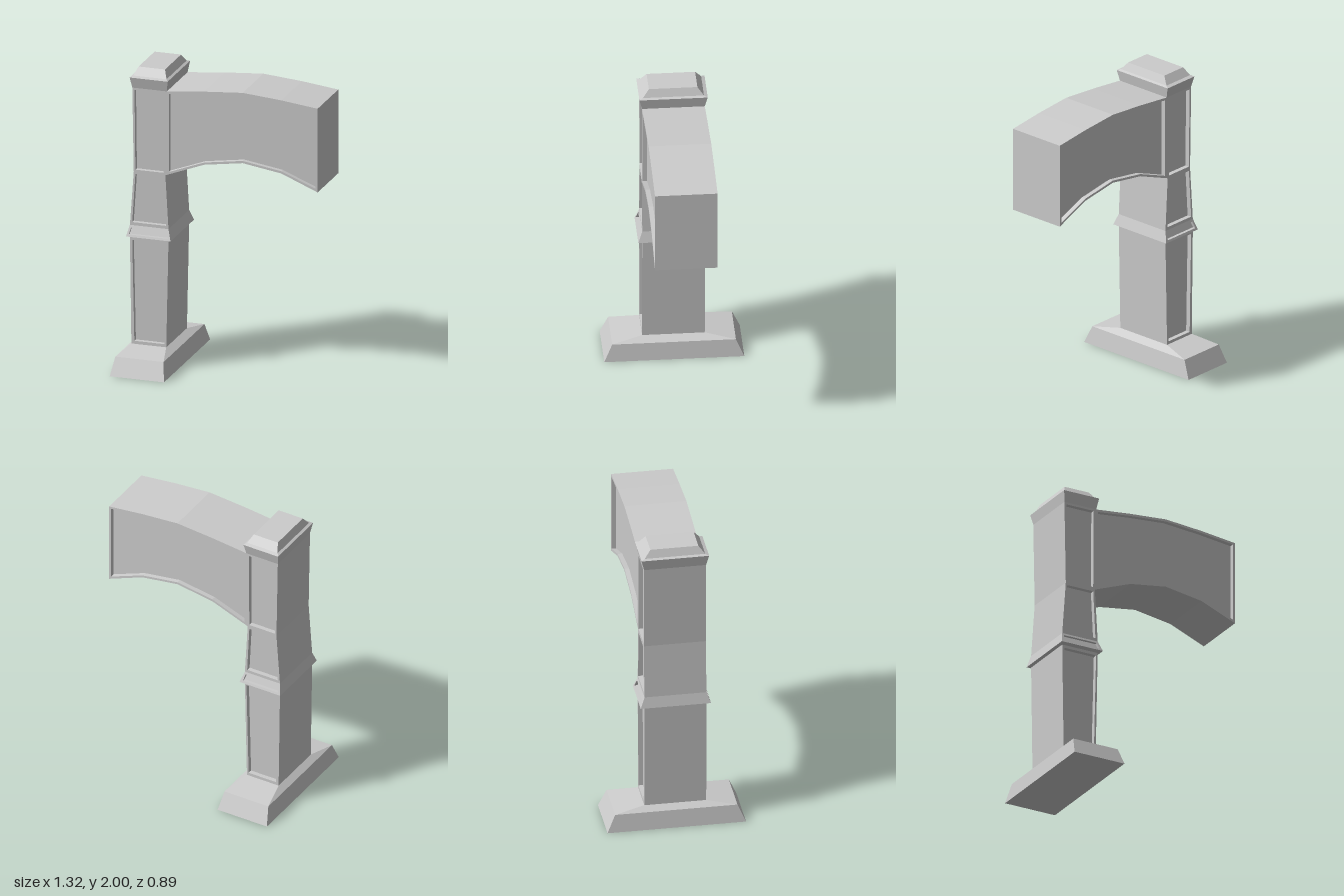
import * as THREE from 'three';

const material = new THREE.MeshStandardMaterial({ color: 0xcccccc, flatShading: true });

function addMesh(parent, geometry, name) {
  const mesh = new THREE.Mesh(geometry, material);
  mesh.name = name;
  parent.add(mesh);
}

const toShape = (points) => new THREE.Shape(points.map(([x, y]) => new THREE.Vector2(x, y)));

// Extrude centred on z = 0; flare(y) pushes the front and back faces outwards
function slab(shape, halfDepth, flare) {
  const geo = new THREE.ExtrudeGeometry(shape, { depth: 2 * halfDepth, bevelEnabled: false });
  geo.translate(0, 0, -halfDepth);
  const p = geo.attributes.position;
  for (let i = 0; i < p.count; i++) {
    p.setZ(i, p.getZ(i) + Math.sign(p.getZ(i)) * flare(p.getY(i)));
  }
  geo.computeVertexNormals();
  return geo;
}

// Block with a sunken panel on its front and back
function panelBlock(parent, name, outline, inset, depth = 0.03, flare = () => 0) {
  const group = new THREE.Group();
  group.name = name;
  const frame = toShape(outline);
  frame.holes.push(toShape(inset));
  addMesh(group, slab(frame, 0.2, flare), name + 'Frame');
  addMesh(group, slab(toShape(inset), 0.2 - depth, flare), name + 'Panel');
  parent.add(group);
}

// Four corners: bottom y, left, right, then top y, left, right
const quad = (y0, l0, r0, y1, l1, r1) => [[l0, y0], [r0, y0], [r1, y1], [l1, y1]];

// Solid through stacked rectangles [y, left, right, halfDepth]
function rectLoft(levels) {
  const pos = [];
  const rings = levels.map(([y, l, r, z]) => [[l, y, z], [r, y, z], [r, y, -z], [l, y, -z]]);
  const face = (a, b, c, d) => pos.push(...a, ...b, ...c, ...a, ...c, ...d);
  for (let i = 0; i < rings.length - 1; i++) {
    for (let k = 0; k < 4; k++) {
      const n = (k + 1) % 4;
      face(rings[i][k], rings[i][n], rings[i + 1][n], rings[i + 1][k]);
    }
  }
  const [b, t] = [rings[0], rings[rings.length - 1]];
  face(b[3], b[2], b[1], b[0]);
  face(t[0], t[1], t[2], t[3]);
  const geo = new THREE.BufferGeometry();
  geo.setAttribute('position', new THREE.Float32BufferAttribute(pos, 3));
  geo.computeVertexNormals();
  return geo;
}

export function createModel() {
  const model = new THREE.Group();
  model.name = 'halfArch';

  // Wide sloping foot
  addMesh(model, rectLoft([
    [0, -0.66, -0.295, 0.447],
    [0.118, -0.64, -0.315, 0.395],
    [0.148, -0.6, -0.365, 0.2],
  ]), 'base');

  // Pillar in three panelled sections
  panelBlock(model, 'lowerShaft',
    quad(0.148, -0.6, -0.365, 0.865, -0.61, -0.35),
    quad(0.168, -0.58, -0.378, 0.845, -0.594, -0.362));
  panelBlock(model, 'middleShaft',
    quad(0.945, -0.61, -0.35, 1.305, -0.584, -0.371),
    quad(0.965, -0.594, -0.367, 1.29, -0.573, -0.383));
  panelBlock(model, 'upperShaft',
    quad(1.305, -0.584, -0.371, 1.87, -0.594, -0.361),
    quad(1.32, -0.573, -0.383, 1.855, -0.579, -0.38));

  // Flared collar with a thin lip underneath
  addMesh(model, rectLoft([
    [0.864, -0.61, -0.35, 0.2],
    [0.873, -0.628, -0.327, 0.227],
  ]), 'collarLip');
  panelBlock(model, 'collar',
    quad(0.873, -0.628, -0.327, 0.945, -0.61, -0.35),
    quad(0.887, -0.61, -0.348, 0.93, -0.6, -0.36),
    0.02, (y) => (0.945 - y) / 0.072 * 0.027);

  // Cap
  addMesh(model, rectLoft([
    [1.87, -0.594, -0.361, 0.2],
    [1.942, -0.606, -0.35, 0.218],
    [1.95, -0.59, -0.365, 0.195],
    [2, -0.567, -0.389, 0.155],
  ]), 'cap');

  // Faceted arched beam
  panelBlock(model, 'beam',
    [[-0.371, 1.305], [-0.11, 1.405], [0.15, 1.445], [0.41, 1.405], [0.655, 1.305],
      [0.655, 1.868], [0.41, 1.897], [0.15, 1.918], [-0.11, 1.897], [-0.361, 1.87]],
    [[-0.347, 1.33], [-0.11, 1.42], [0.15, 1.46], [0.41, 1.42], [0.64, 1.328],
      [0.64, 1.855], [0.41, 1.882], [0.15, 1.903], [-0.11, 1.882], [-0.347, 1.855]]);

  return model;
}
